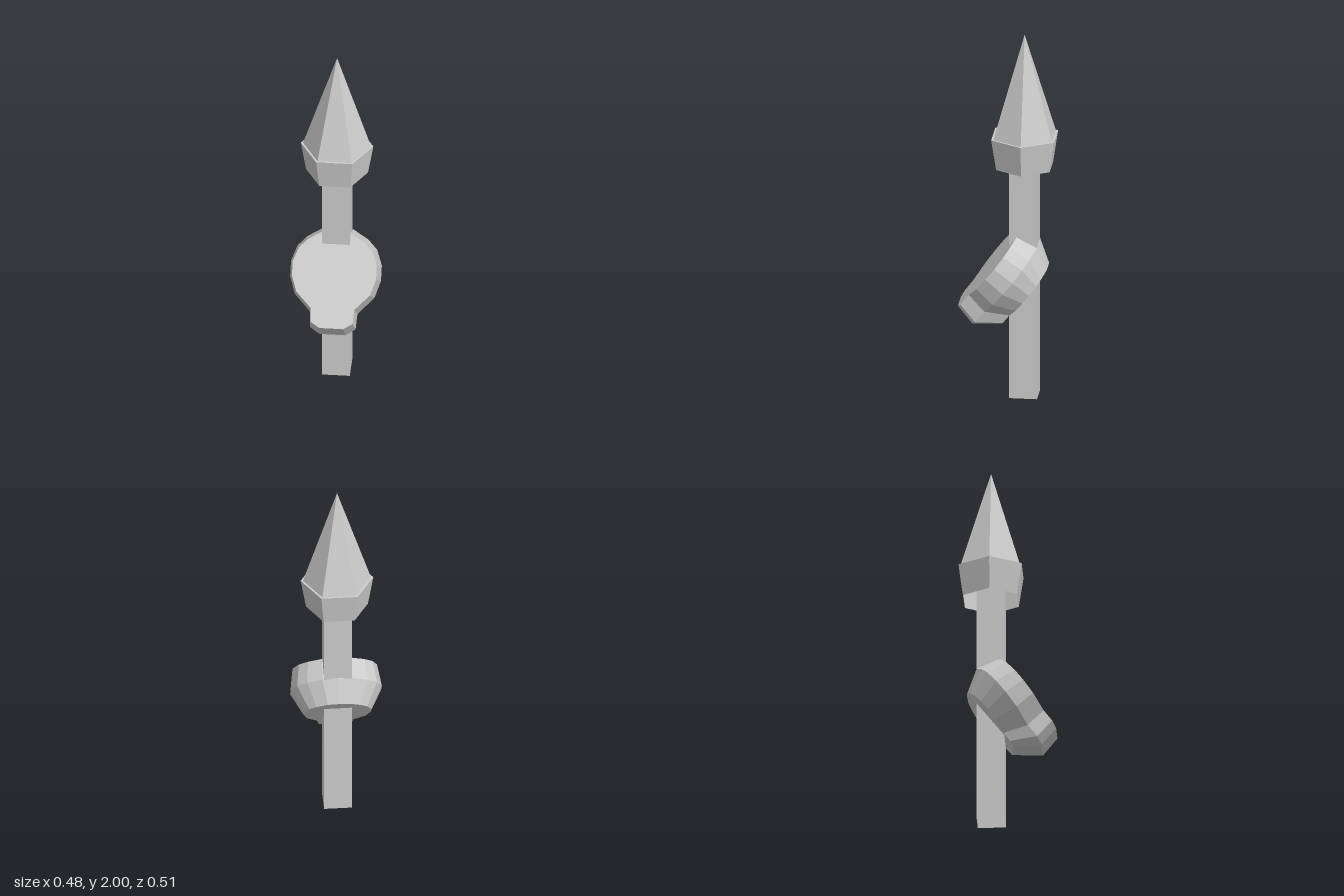
import * as THREE from 'three';

const AXIS_Z = -0.088;

export function createModel() {
  const model = new THREE.Group();
  const grey = new THREE.MeshStandardMaterial({ color: 0xcccccc, flatShading: true, side: THREE.DoubleSide });
  grey.name = 'plain grey';

  const add = (name, geometry) => {
    const mesh = new THREE.Mesh(geometry, grey);
    mesh.name = name;
    model.add(mesh);
    return mesh;
  };

  // Square shaft, open at both ends
  const shaft = new THREE.CylinderGeometry(0.1032, 0.1032, 1.44, 4, 1, true, Math.PI / 4);
  add('shaft', shaft).position.set(0, 0.72, AXIS_Z);

  // Six-sided collar with a narrow ledge, open underneath
  const lathe = (points) =>
    new THREE.LatheGeometry(points.map(([r, y]) => new THREE.Vector2(r, y)), 6, Math.PI / 2);
  add('collar', lathe([[0.162, 1.27], [0.19, 1.44], [0.178, 1.44]])).position.z = AXIS_Z;

  // Pointed spear tip
  add('spearTip', lathe([[0.178, 1.44], [0, 2]])).position.z = AXIS_Z;

  // Skull: mirrored face outline from jaw to crown
  const half = [
    [0.063, 0], [0.11, 0.03], [0.115, 0.103], [0.193, 0.184], [0.22, 0.266],
    [0.22, 0.34], [0.193, 0.413], [0.147, 0.46], [0.075, 0.502],
  ];
  const outline = [...half, [0, 0.508], ...half.map(([x, y]) => [-x, y]).reverse()];
  const shape = new THREE.Shape(outline.map(([x, y]) => new THREE.Vector2(x, y)));
  const depth = 0.236;
  const skull = new THREE.ExtrudeGeometry(shape, { depth, steps: 2, bevelEnabled: false });
  skull.translate(0, 0, -depth);

  // Swell the middle ring and narrow the back ring around the skull's centre
  const pos = skull.attributes.position;
  const centre = 0.28;
  for (let i = 0; i < pos.count; i++) {
    const ring = Math.round((-pos.getZ(i) / depth) * 2);
    const sx = [1, 1.08, 0.79][ring];
    const sy = [1, 1.1, 0.78][ring];
    pos.setX(i, pos.getX(i) * sx);
    pos.setY(i, centre + (pos.getY(i) - centre) * sy);
  }
  skull.computeVertexNormals();

  // Leaning back on the shaft, jaw forward
  const head = add('skull', skull);
  head.rotation.x = -0.66;
  head.position.set(0, 0.5, 0.255);

  return model;
}
